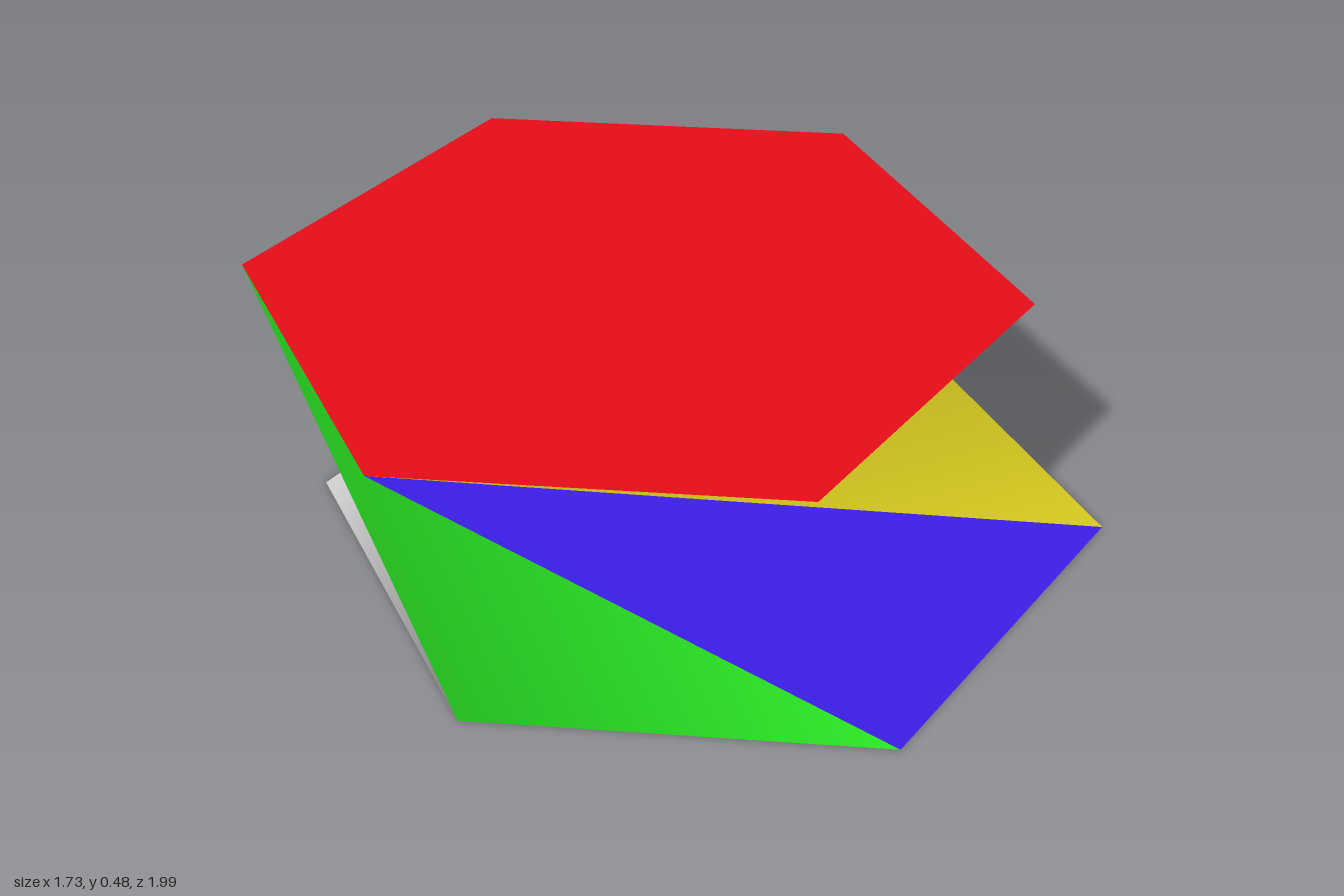
import * as THREE from 'three';

const HEIGHT = 0.48, RADIUS = 0.888, PHASE = THREE.MathUtils.degToRad(6);

// Corners of a level hexagon, counter-clockwise seen from above, starting at the front
function hexagon(cx, y, cz) {
  return Array.from({ length: 6 }, (_, i) => {
    const a = PHASE + i * Math.PI / 3;
    return new THREE.Vector3(cx + RADIUS * Math.sin(a), y, cz + RADIUS * Math.cos(a));
  });
}

function panel(name, color, points, index) {
  const geometry = new THREE.BufferGeometry().setFromPoints(points);
  geometry.setIndex(index);
  geometry.computeVertexNormals();
  const mesh = new THREE.Mesh(geometry, new THREE.MeshStandardMaterial({ color, side: THREE.DoubleSide }));
  mesh.name = name;
  return mesh;
}

export function createModel() {
  const group = new THREE.Group();
  group.name = 'twistedHexagonalPrism';

  // The two plates are offset from each other
  const bottom = hexagon(0.053, 0, 0.111);
  const top = hexagon(-0.053, HEIGHT, -0.111);
  const fan = [0, 1, 2, 0, 2, 3, 0, 3, 4, 0, 4, 5];
  group.add(panel('topPlate', 0xe60d17, top, fan));
  group.add(panel('bottomPlate', 0xcccccc, [...bottom].reverse(), fan));

  // Side panels twist by a third of a turn; each folds outward or inward on a diagonal
  const outward = [0, 1, 2, 0, 2, 3], inward = [0, 1, 3, 1, 2, 3];
  const sides = [
    ['frontPanel', 0x3f1ff0, outward],
    ['frontRightPanel', 0xe6d822, inward],
    ['backRightPanel', 0xf01ad8, outward],
    ['backPanel', 0xff9018, outward],
    ['backLeftPanel', 0xcccccc, inward],
    ['frontLeftPanel', 0x28e022, outward],
  ];
  sides.forEach(([name, color, fold], i) => {
    const corners = [bottom[i], bottom[(i + 1) % 6], top[(i + 5) % 6], top[(i + 4) % 6]];
    group.add(panel(name, color, corners, fold));
  });
  return group;
}
